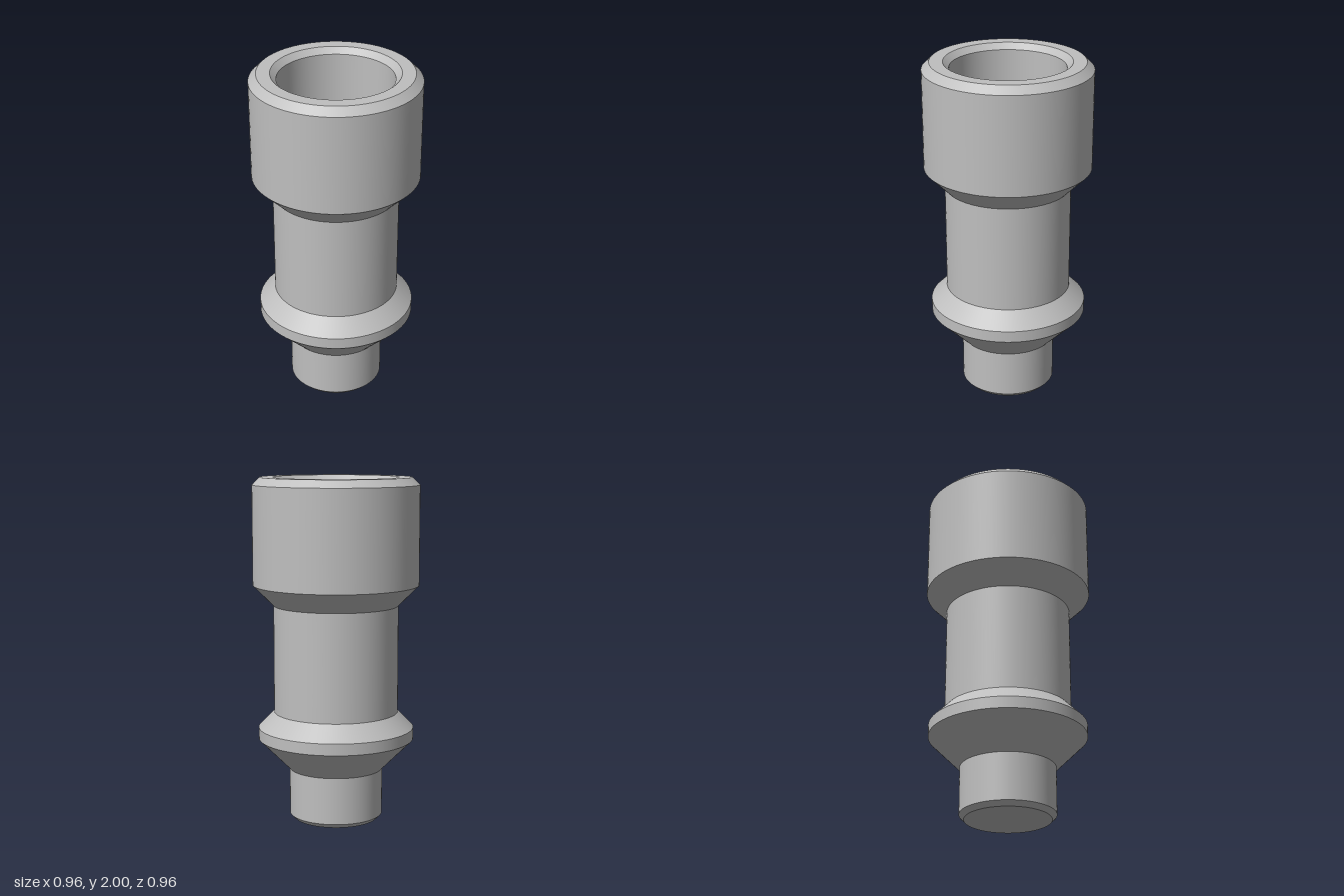
import * as THREE from 'three';

export function createModel() {
  const group = new THREE.Group();
  const steel = new THREE.MeshStandardMaterial({ color: 0xbfbfbf });
  steel.name = 'light grey metal';

  // Closed turned profile [radius, height], with the name of the surface that ends at each point
  const profile = [
    [0, 0],
    [0.245, 0, 'bottomFace'],
    [0.272, 0.027, 'spigotChamfer'],
    [0.272, 0.3, 'spigot'],
    [0.453, 0.481, 'collarUnderside'],
    [0.453, 0.548, 'collarEdge'],
    [0.362, 0.64, 'collarTop'],
    [0.362, 1.265, 'neck'],
    [0.481, 1.384, 'headUnderside'],
    [0.481, 1.957, 'head'],
    [0.437, 2, 'headChamfer'],
    [0.361, 2, 'rim'],
    [0.327, 1.966, 'boreChamfer'],
    [0.327, 1.36, 'bore'],
    [0, 1.36, 'boreFloor'],
  ];

  // One lathe per surface keeps the edges between them sharp
  for (let i = 1; i < profile.length; i++) {
    const ends = [profile[i - 1], profile[i]].map(([r, y]) => new THREE.Vector2(r, y));
    const mesh = new THREE.Mesh(new THREE.LatheGeometry(ends, 96), steel);
    mesh.name = profile[i][2];
    group.add(mesh);
  }
  return group;
}
